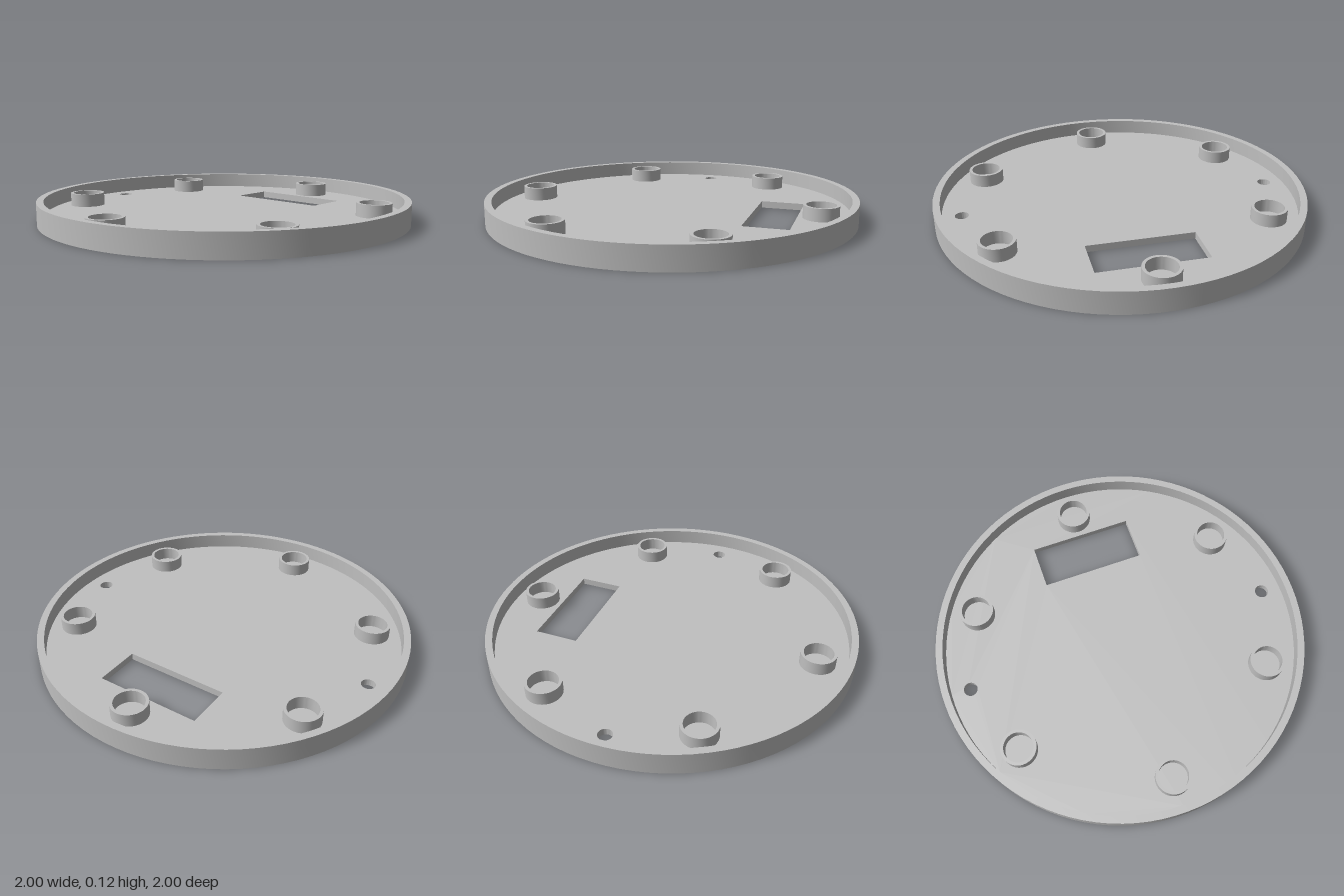
import * as THREE from 'three';
import { toCreasedNormals } from 'three/addons/utils/BufferGeometryUtils.js';

const FLOOR = 0.037, HEIGHT = 0.12, INNER = 0.963;
const BOSS_TOP = 0.107, BOSS_CIRCLE = 0.81;
const CREASE = Math.PI / 6;

// Turned ring from [radius, height] points, smooth around and sharp at its edges
function turned(points, segments) {
  const profile = points.map(([r, y]) => new THREE.Vector2(r, y));
  return toCreasedNormals(new THREE.LatheGeometry(profile, segments), CREASE);
}

export function createModel() {
  const group = new THREE.Group();
  const grey = new THREE.MeshStandardMaterial({ color: 0xc0c0c0 });
  grey.name = 'grey';

  const add = (name, geometry) => {
    const mesh = new THREE.Mesh(geometry, grey);
    mesh.name = name;
    group.add(mesh);
    return mesh;
  };

  // Floor disc with a rectangular window and two screw holes
  const disc = new THREE.Shape();
  disc.absarc(0, 0, INNER, 0, Math.PI * 2);
  disc.holes.push(new THREE.Path([
    [0.45, -0.285], [0.45, 0.285], [0.69, 0.285], [0.69, -0.285],
  ].map(([x, y]) => new THREE.Vector2(x, y))));
  for (const side of [-1, 1]) {
    const hole = new THREE.Path();
    hole.absarc(0, side * 0.858, 0.037, 0, Math.PI * 2, true);
    disc.holes.push(hole);
  }
  const floor = new THREE.ExtrudeGeometry(disc, { depth: FLOOR, bevelEnabled: false, curveSegments: 48 });
  floor.rotateX(-Math.PI / 2);
  add('floor', toCreasedNormals(floor, CREASE));

  // Outer rim wall
  add('rim', turned([[INNER, 0], [1, 0], [1, HEIGHT], [INNER, HEIGHT], [INNER, FLOOR]], 96));

  // Six hollow bosses standing on the floor
  const bossGeometry = turned([[0.094, FLOOR], [0.094, BOSS_TOP], [0.078, BOSS_TOP], [0.078, FLOOR]], 48);
  for (let i = 0; i < 6; i++) {
    const angle = (i * Math.PI) / 3;
    add('boss' + (i + 1), bossGeometry)
      .position.set(BOSS_CIRCLE * Math.cos(angle), 0, BOSS_CIRCLE * Math.sin(angle));
  }

  return group;
}
